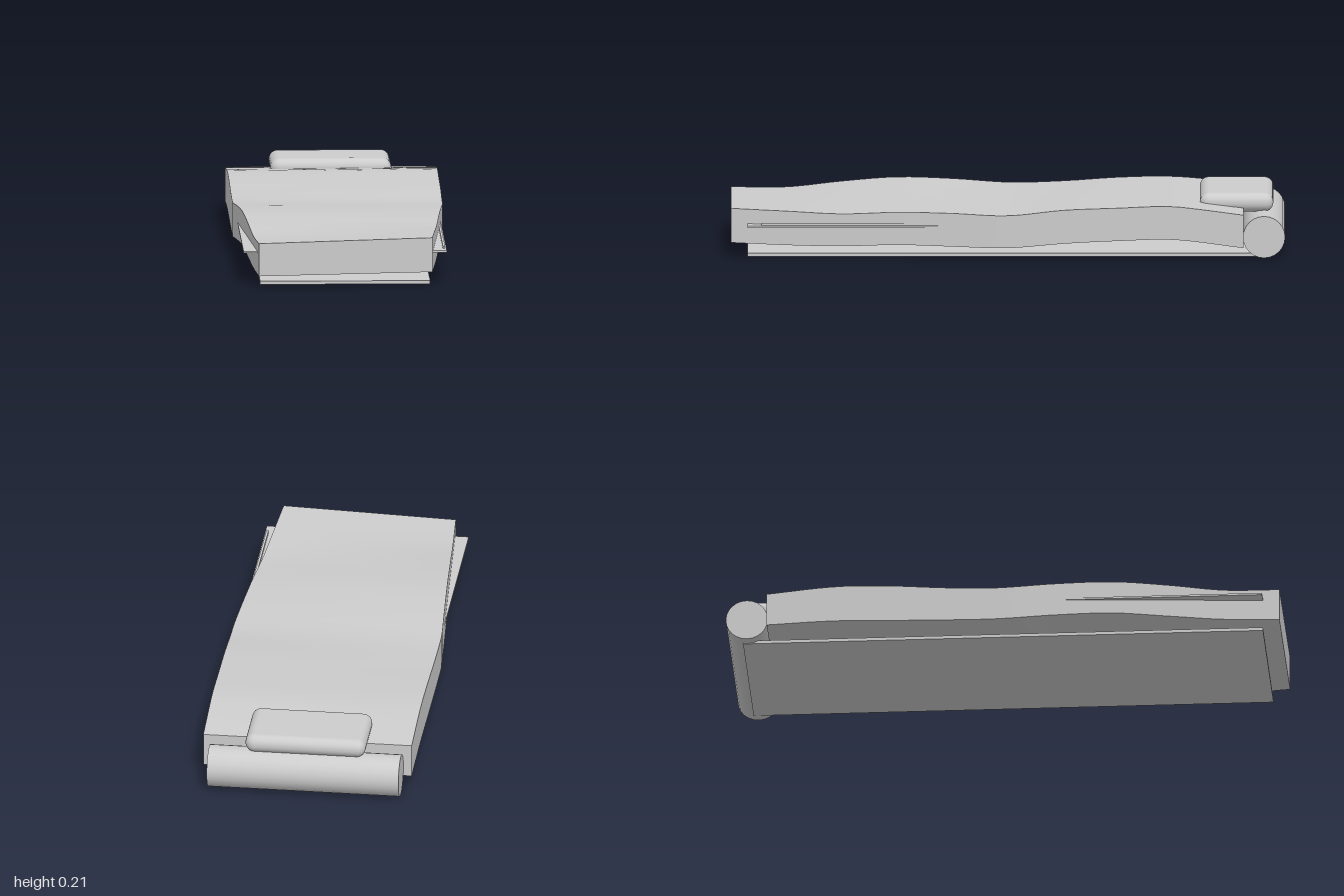
import * as THREE from 'three';
import { RoundedBoxGeometry } from 'three/addons/geometries/RoundedBoxGeometry.js';

const fabric = new THREE.MeshStandardMaterial({ color: 0xcccccc });
fabric.name = 'pale grey fabric';

function addPart(group, name, geometry, x, y, z) {
  const mesh = new THREE.Mesh(geometry, fabric);
  mesh.name = name;
  mesh.position.set(x, y, z);
  group.add(mesh);
  return mesh;
}

// Height along one edge as a smooth function of z, from [z, y] points
function heightCurve(points) {
  return z => {
    let i = 0;
    while (i < points.length - 2 && z > points[i + 1][0]) i++;
    const [z0, y0] = points[i], [z1, y1] = points[i + 1];
    const t = THREE.MathUtils.clamp((z - z0) / (z1 - z0), 0, 1);
    const slope = k => {
      const a = points[Math.max(k - 1, 0)], b = points[Math.min(k + 1, points.length - 1)];
      return (b[1] - a[1]) / (b[0] - a[0]) * (z1 - z0);
    };
    const t2 = t * t, t3 = t2 * t;
    return (2 * t3 - 3 * t2 + 1) * y0 + (t3 - 2 * t2 + t) * slope(i)
      + (3 * t2 - 2 * t3) * y1 + (t3 - t2) * slope(i + 1);
  };
}

const topLeft = heightCurve([[-0.85, 0.165], [-0.7, 0.185], [-0.58, 0.197], [-0.4, 0.191],
  [-0.2, 0.183], [0, 0.163], [0.2, 0.17], [0.4, 0.172], [0.6, 0.164], [0.8, 0.172], [1, 0.18]]);
const topRight = heightCurve([[-0.85, 0.165], [-0.6, 0.188], [-0.4, 0.185], [-0.2, 0.172],
  [0, 0.167], [0.2, 0.182], [0.4, 0.19], [0.6, 0.177], [0.8, 0.158], [1, 0.161]]);
const bottomLeft = heightCurve([[-0.85, 0.045], [-0.6, 0.075], [-0.4, 0.071], [-0.2, 0.061],
  [0, 0.045], [0.2, 0.049], [0.4, 0.053], [0.6, 0.046], [0.8, 0.048], [1, 0.055]]);
const bottomRight = heightCurve([[-0.85, 0.043], [-0.6, 0.052], [-0.3, 0.046], [0, 0.044],
  [0.2, 0.058], [0.4, 0.066], [0.6, 0.054], [0.8, 0.042], [1, 0.042]]);

// Soft slab that narrows toward the foot and ripples over its length
function quiltGeometry() {
  const geometry = new THREE.BoxGeometry(2, 2, 1.85, 12, 1, 40);
  const p = geometry.attributes.position;
  for (let i = 0; i < p.count; i++) {
    const u = p.getX(i), z = p.getZ(i) + 0.075;
    const halfWidth = z < 0.05 ? 0.379 : THREE.MathUtils.lerp(0.379, 0.313, (z - 0.05) / 0.95);
    const side = (u + 1) / 2;
    const y = p.getY(i) > 0
      ? THREE.MathUtils.lerp(topRight(z), topLeft(z), side)
      : THREE.MathUtils.lerp(bottomRight(z), bottomLeft(z), side);
    p.setXYZ(i, u * halfWidth, y, z);
  }
  geometry.computeVertexNormals();
  return geometry;
}

export function createModel() {
  const model = new THREE.Group();
  model.name = 'sleepingBag';

  addPart(model, 'quilt', quiltGeometry(), 0, 0, 0);

  // Thin ground sheet below
  addPart(model, 'groundSheet', new THREE.BoxGeometry(0.614, 0.012, 1.88), 0, 0.009, 0);

  // Rolled bundle at the head end
  const roll = addPart(model, 'headRoll', new THREE.CylinderGeometry(0.076, 0.076, 0.697, 24), 0, 0.08, -0.924);
  roll.rotation.z = Math.PI / 2;

  // Pillow
  addPart(model, 'pillow', new RoundedBoxGeometry(0.436, 0.068, 0.265, 4, 0.033), -0.002, 0.183, -0.825);

  // Zip strips along both sides, with a pull on the left one
  for (const s of [-1, 1]) {
    addPart(model, s > 0 ? 'leftZip' : 'rightZip',
      new THREE.BoxGeometry(0.05, 0.007, 1.5), s * 0.342, 0.121, 0.19);
  }
  addPart(model, 'zipPull', new THREE.BoxGeometry(0.008, 0.009, 0.6), 0.358, 0.129, 0.59);

  return model;
}
